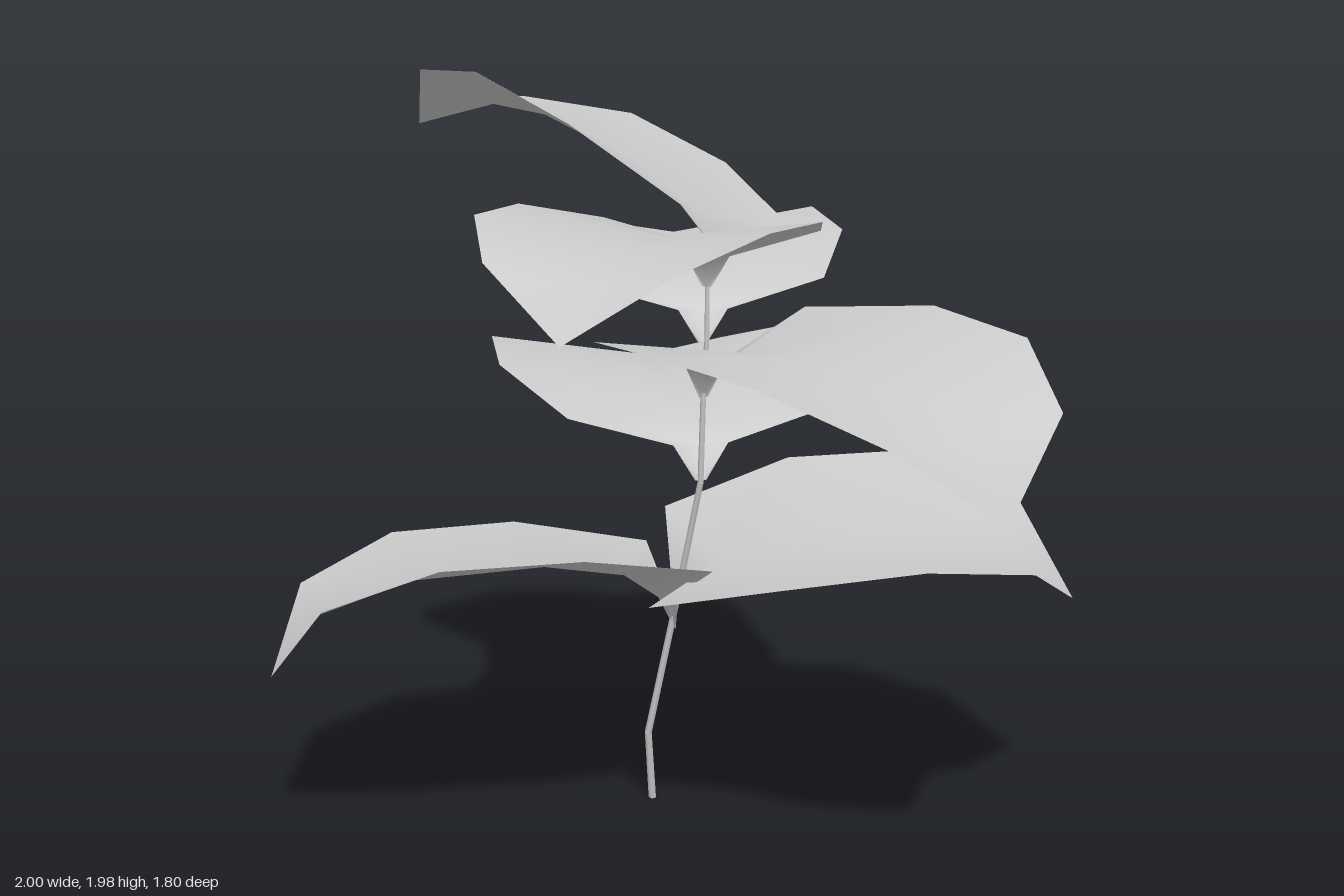
import * as THREE from 'three';

const V = (x, y, z) => new THREE.Vector3(x, y, z);
const material = new THREE.MeshStandardMaterial({ color: 0xcccccc, side: THREE.DoubleSide });

// Rows of the standard leaf: midrib (along, height), then margin (along, half width, height)
const ROWS = [
  [0, 0, 0, 0.012, 0],
  [0.03, 0.07, 0, 0.06, 0.08],
  [0.1, 0.125, -0.02, 0.29, 0.155],
  [0.27, 0.162, 0.26, 0.39, 0.218],
  [0.55, 0.165, 0.54, 0.365, 0.227],
  [0.75, 0.115, 0.76, 0.232, 0.155],
  [0.855, 0, 0.855, 0, 0],
];
const LENGTH = 0.855;

// A heart-shaped, folded, drooping leaf running from base to tip;
// roll lifts one side, skew slides that side towards the tip
function makeLeaf(base, tip, roll = 0, skew = 0) {
  const axis = tip.clone().sub(base);
  const scale = axis.length() / LENGTH;
  const forward = axis.normalize();
  const flat = V(0, 1, 0).cross(forward).normalize();
  const lift = forward.clone().cross(flat);
  const side = flat.clone().multiplyScalar(Math.cos(roll)).addScaledVector(lift, Math.sin(roll));
  const up = forward.clone().cross(side);

  const positions = [], index = [];
  const add = (t, s, y) => {
    const p = base.clone()
      .addScaledVector(forward, (t + skew * s) * scale)
      .addScaledVector(side, s * scale)
      .addScaledVector(up, y * scale);
    positions.push(p.x, p.y, p.z);
  };
  ROWS.forEach(([mt, my, et, es, ey], row) => {
    add(et, -es, ey);
    add(mt, 0, my);
    add(et, es, ey);
    if (row === 0) return;
    for (let col = 0; col < 2; col++) {
      const a = (row - 1) * 3 + col, b = a + 3;
      // The tip row is a single point, so it closes with one triangle per side
      if (row === ROWS.length - 1) index.push(a, 19, a + 1);
      else if (col === 0) index.push(a, b, a + 1, b, b + 1, a + 1);
      else index.push(a, b, b + 1, a, b + 1, a + 1);
    }
  });
  const geometry = new THREE.BufferGeometry();
  geometry.setAttribute('position', new THREE.Float32BufferAttribute(positions, 3));
  geometry.setIndex(index);
  geometry.computeVertexNormals();
  return new THREE.Mesh(geometry, material);
}

// Stem as straight tapered pieces between joints
function makeStem(joints) {
  const stem = new THREE.Group();
  const radius = (i) => 0.011 - 0.005 * i / (joints.length - 1);
  for (let i = 1; i < joints.length; i++) {
    const dir = joints[i].clone().sub(joints[i - 1]);
    const piece = new THREE.Mesh(
      new THREE.CylinderGeometry(radius(i), radius(i - 1), dir.length(), 5), material);
    piece.position.copy(joints[i]).add(joints[i - 1]).multiplyScalar(0.5);
    piece.quaternion.setFromUnitVectors(V(0, 1, 0), dir.normalize());
    piece.name = 'stemPiece';
    stem.add(piece);
  }
  return stem;
}

export function createModel() {
  const plant = new THREE.Group();
  plant.name = 'plant';

  const stem = makeStem([
    V(-0.12, 0, -0.105), V(-0.12, 0.2, -0.07), V(-0.045, 0.53, -0.045), V(0.05, 0.93, 0.02),
    V(0.06, 1.17, 0.03), V(0.07, 1.31, 0.035), V(0.07, 1.49, 0.03),
  ]);
  stem.name = 'stem';
  plant.add(stem);

  // Leaves from the ground up: name, base, tip, roll, skew
  const leaves = [
    ['lowerRightLeaf', V(-0.04, 0.51, -0.045), V(-0.94, 0.47, 0.5), 0.17],
    ['lowerLeftLeaf', V(-0.045, 0.53, -0.045), V(0.97, 0.61, -0.28), 0.09],
    ['middleBackLeaf', V(0.05, 0.935, 0.02), V(-0.45, 0.93, -0.87)],
    ['middleFrontLeaf', V(0.06, 1.155, 0.03), V(0.92, 1.04, 0.59)],
    ['upperBackLeaf', V(0.06, 1.3, 0.04), V(-0.3, 1.33, -0.77)],
    ['upperFrontLeaf', V(0.07, 1.44, 0.04), V(-0.02, 1.45, 0.89)],
    ['topLeaf', V(0.06, 1.48, 0.02), V(-0.73, 1.81, -0.06), 0.16, 0.2],
  ];
  for (const [name, ...shape] of leaves) {
    const leaf = makeLeaf(...shape);
    leaf.name = name;
    plant.add(leaf);
  }
  return plant;
}
